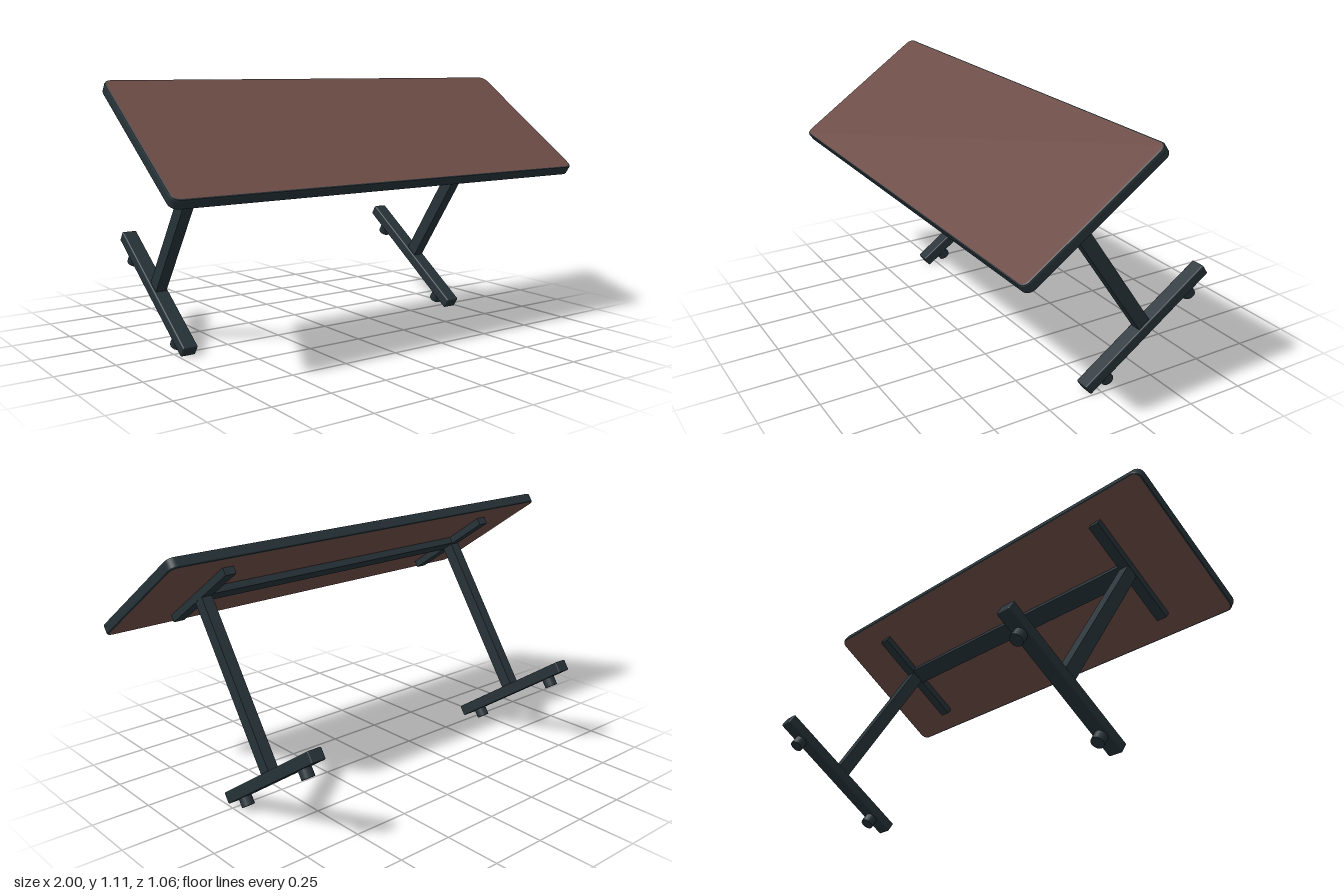
import * as THREE from 'three';
import { RoundedBoxGeometry } from 'three/addons/geometries/RoundedBoxGeometry.js';

const TILT = THREE.MathUtils.degToRad(34.4);
const MID = -0.315; // depth centre of the table in its own tilted frame

export function createModel() {
  const wood = new THREE.MeshStandardMaterial({ name: 'brown wood', color: 0x6d4c46 });
  const metal = new THREE.MeshStandardMaterial({ name: 'dark slate', color: 0x263238 });

  const model = new THREE.Group();
  model.name = 'table';
  const tilted = new THREE.Group();
  tilted.name = 'tiltedTable';
  tilted.rotation.x = TILT;
  model.add(tilted);

  const add = (parent, name, geometry, material, x, y, z) => {
    const mesh = new THREE.Mesh(geometry, material);
    mesh.name = name;
    mesh.position.set(x, y, z);
    parent.add(mesh);
    return mesh;
  };

  // Table top: rounded rectangle, wooden faces and a dark bevelled rim
  const bevel = 0.007, thickness = 0.045;
  const hw = 1 - bevel, hd = 0.354 - bevel, r = 0.028;
  const outline = new THREE.Shape();
  outline.absarc(hw - r, hd - r, r, 0, Math.PI / 2);
  outline.absarc(-hw + r, hd - r, r, Math.PI / 2, Math.PI);
  outline.absarc(-hw + r, -hd + r, r, Math.PI, Math.PI * 1.5);
  outline.absarc(hw - r, -hd + r, r, Math.PI * 1.5, Math.PI * 2);
  outline.closePath();
  const top = new THREE.ExtrudeGeometry(outline, {
    depth: thickness - 2 * bevel, bevelEnabled: true, bevelSize: bevel,
    bevelThickness: bevel, bevelSegments: 2, curveSegments: 6,
  });
  top.rotateX(-Math.PI / 2);
  add(tilted, 'tableTop', top, [wood, metal], 0, 0.847 + bevel, MID);

  // Crossbar under the top
  add(tilted, 'crossbar', new THREE.BoxGeometry(1.42, 0.033, 0.08), metal, 0, 0.8335, MID);

  // One leg assembly on each side
  for (const side of [1, -1]) {
    const leg = new THREE.Group();
    leg.name = side > 0 ? 'leftLeg' : 'rightLeg';
    leg.position.set(side * 0.709, 0, MID);
    tilted.add(leg);

    add(leg, 'topBracket', new THREE.BoxGeometry(0.05, 0.034, 0.505), metal, 0, 0.832, 0);
    add(leg, 'column', new THREE.BoxGeometry(0.048, 0.76, 0.06), metal, 0, 0.447, 0);
    add(leg, 'foot', new RoundedBoxGeometry(0.066, 0.05, 0.7, 2, 0.006), metal, 0, 0.053, 0);

    // Round levelling pads
    for (const end of [1, -1]) {
      add(leg, 'footPad', new THREE.CylinderGeometry(0.028, 0.028, 0.045, 16), metal,
        0, 0.0115, 0.006 + end * 0.248);
    }
  }
  return model;
}
